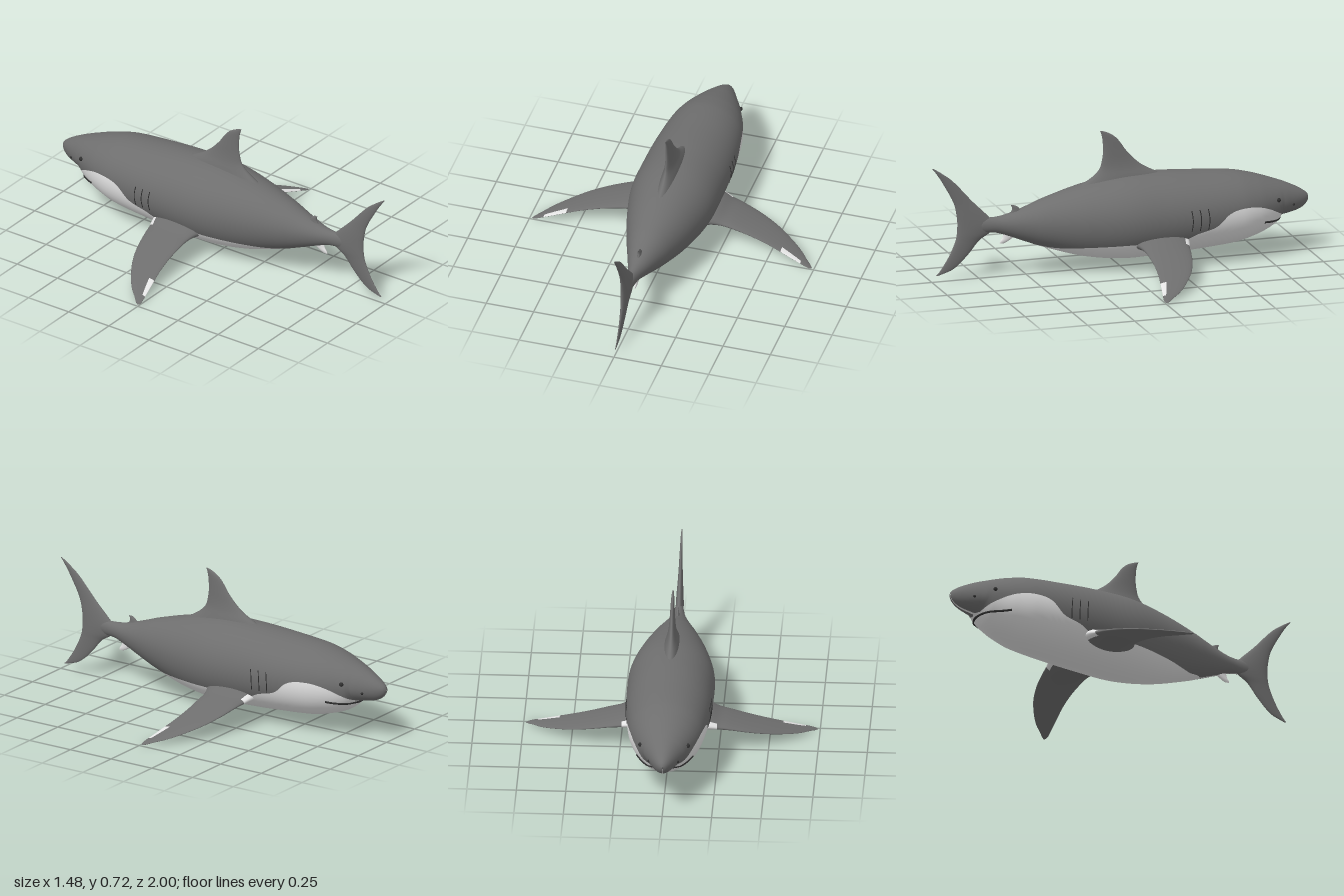
import * as THREE from 'three';

const grey = new THREE.MeshStandardMaterial({ color: 0x6e6e6e, name: 'back grey' });
const white = new THREE.MeshStandardMaterial({ color: 0xe4e4e4, name: 'belly white' });
const dark = new THREE.MeshStandardMaterial({ color: 0x303030, name: 'dark detail' });

// Smooth interpolation of a table whose first column is the parameter
function sample(rows, t) {
  let i = 0;
  while (i < rows.length - 2 && t > rows[i + 1][0]) i++;
  const a = rows[i], b = rows[i + 1], p = rows[i - 1] || a, q = rows[i + 2] || b;
  const d = b[0] - a[0], s = Math.min(1, Math.max(0, (t - a[0]) / d));
  return a.slice(1).map((_, k) => {
    const c = k + 1;
    const m0 = (b[c] - p[c]) / (b[0] - p[0]) * d, m1 = (q[c] - a[c]) / (q[0] - a[0]) * d;
    const s2 = s * s, s3 = s2 * s;
    return (2 * s3 - 3 * s2 + 1) * a[c] + (s3 - 2 * s2 + s) * m0 + (3 * s2 - 2 * s3) * b[c] + (s3 - s2) * m1;
  });
}

// Skin closed rings of points; isWhite(i, j) picks the colour of each cell
function loft(name, rings, isWhite = () => false, flip = false) {
  const n = rings[0].length, cells = [[], []];
  for (let i = 0; i < rings.length - 1; i++) {
    for (let j = 0; j < n; j++) {
      const k = (j + 1) % n;
      const a = i * n + j, b = i * n + k, c = a + n, d = b + n;
      cells[isWhite(i, j) ? 1 : 0].push(...(flip ? [a, d, b, a, c, d] : [a, b, d, a, d, c]));
    }
  }
  const g = new THREE.BufferGeometry();
  g.setAttribute('position', new THREE.Float32BufferAttribute(rings.flat(2), 3));
  g.setIndex([...cells[0], ...cells[1]]);
  g.addGroup(0, cells[0].length, 0);
  g.addGroup(cells[0].length, cells[1].length, 1);
  g.computeVertexNormals();
  const mesh = new THREE.Mesh(g, [grey, white]);
  mesh.name = name;
  return mesh;
}

// Body stations: z, top, bottom, half width, height of widest line
const BODY = [
  [-1, .283, .277, .002, .28], [-.995, .297, .26, .015, .28], [-.975, .315, .237, .033, .28],
  [-.94, .337, .219, .054, .28], [-.88, .366, .207, .085, .282], [-.84, .382, .198, .106, .285],
  [-.82, .389, .168, .116, .285], [-.77, .407, .135, .138, .285], [-.7, .429, .108, .166, .283],
  [-.6, .451, .083, .192, .28], [-.4, .468, .066, .213, .275], [-.2, .48, .055, .22, .27],
  [0, .478, .05, .216, .27], [.2, .445, .077, .175, .27], [.4, .392, .137, .115, .27],
  [.5, .357, .175, .081, .272], [.6, .327, .215, .048, .275], [.66, .318, .235, .032, .278],
  [.74, .315, .243, .02, .28], [.82, .29, .27, .005, .28],
];
// Height of the line between back and belly colours
const LINE = [
  [-1, 0], [-.88, .1], [-.85, .2], [-.8, .245], [-.7, .29], [-.6, .3], [-.52, .28], [-.45, .22],
  [-.35, .19], [-.29, .165], [0, .158], [.2, .15], [.36, .145], [.48, .16], [.54, .14], [.9, 0],
];

function bodyPoint(z, angle, grow = 0) {
  const [top, bottom, w, cy] = sample(BODY, z), s = Math.sin(angle);
  return [(w + grow) * Math.cos(angle), cy + s * ((s > 0 ? top - cy : cy - bottom) + grow), z];
}
function angleAt(z, y) {
  const [top, bottom, , cy] = sample(BODY, z);
  const s = (y - cy) / (y > cy ? top - cy : cy - bottom);
  return Math.asin(Math.min(.995, Math.max(-.995, s)));
}
const skinPoint = (z, y, side, grow = 0) => {
  const [px, py, pz] = bodyPoint(z, angleAt(z, y), grow);
  return new THREE.Vector3(px * side, py, pz);
};

function makeBody() {
  const UP = 40, LOW = 24, STEPS = 180, rings = [];
  for (let i = 0; i <= STEPS; i++) {
    const t = i / STEPS, z = -1 + 1.82 * (t < .12 ? t * t / .12 * .5 + t * .5 : t);
    const a = angleAt(z, sample(LINE, z)[0]), ring = [];
    for (let j = 0; j < UP; j++) ring.push(bodyPoint(z, a + (Math.PI - 2 * a) * j / UP));
    for (let j = 0; j < LOW; j++) ring.push(bodyPoint(z, Math.PI - a + (Math.PI + 2 * a) * j / LOW));
    rings.push(ring);
  }
  return loft('body', rings, (i, j) => j >= UP);
}

// Upright fin from rows of: y, leading z, trailing z, half thickness
function uprightFin(name, rows, steps, allWhite = false) {
  const rings = [], y0 = rows[0][0], y1 = rows[rows.length - 1][0];
  for (let i = 0; i <= steps; i++) {
    const y = y0 + (y1 - y0) * i / steps, [lead, trail, half] = sample(rows, y);
    rings.push(Array.from({ length: 24 }, (_, j) => {
      const a = j / 24 * Math.PI * 2;
      return [half * Math.sin(a), y, (lead + trail) / 2 + (trail - lead) / 2 * Math.cos(a)];
    }));
  }
  return loft(name, rings, () => allWhite);
}

// Pectoral rows: x, leading z, trailing z, middle y, half thickness
const PECTORAL = [
  [.13, -.32, .0, .16, .055], [.2, -.305, -.035, .152, .04], [.25, -.29, -.05, .14, .027],
  [.3, -.28, -.052, .13, .021], [.4, -.255, -.052, .104, .015], [.5, -.214, -.042, .076, .011],
  [.6, -.15, -.022, .046, .008], [.66, -.1, -.01, .028, .006], [.7, -.055, -.002, .016, .005],
  [.725, -.03, .0, .008, .003], [.738, -.012, -.008, .004, .001],
];
function pectoralFin(side) {
  const STEPS = 60, N = 32, rings = [], xAt = i => .13 + .608 * i / STEPS;
  for (let i = 0; i <= STEPS; i++) {
    const [lead, trail, y, half] = sample(PECTORAL, xAt(i));
    rings.push(Array.from({ length: N }, (_, j) => {
      const a = j / N * Math.PI * 2;
      return [side * xAt(i), y + half * Math.sin(a), (lead + trail) / 2 + (trail - lead) / 2 * Math.cos(a)];
    }));
  }
  // white flecks at the front of the root and on the upper trailing tip
  const fleck = (i, j) => {
    const x = xAt(i + .5), c = Math.cos((j + .5) / N * Math.PI * 2);
    return (x < .245 && c < -.8) || (x > .57 && x < .68 && j < N / 2 && c > .55);
  };
  return loft(side > 0 ? 'leftPectoralFin' : 'rightPectoralFin', rings, fleck, side > 0);
}

function tube(name, points, radius) {
  const mesh = new THREE.Mesh(new THREE.TubeGeometry(new THREE.CatmullRomCurve3(points), 32, radius, 6), dark);
  mesh.name = name;
  return mesh;
}
function dot(name, z, y, side, radius) {
  const mesh = new THREE.Mesh(new THREE.SphereGeometry(radius, 16, 12), dark);
  mesh.position.copy(skinPoint(z, y, side));
  mesh.name = name;
  return mesh;
}

export function createModel() {
  const shark = new THREE.Group();
  shark.name = 'shark';
  shark.add(makeBody());

  shark.add(uprightFin('dorsalFin', [
    [.42, -.3, .25, .05], [.48, -.2, .15, .036], [.52, -.125, .11, .024], [.56, -.075, .097, .017],
    [.61, -.03, .09, .013], [.66, .005, .092, .01], [.69, .035, .096, .008], [.71, .07, .102, .005],
    [.72, .1, .106, .002],
  ], 50));
  shark.add(uprightFin('tailFin', [
    [.035, .965, .978, .002], [.06, .89, .955, .005], [.13, .81, .91, .009], [.205, .745, .876, .014],
    [.24, .69, .868, .018], [.28, .66, .865, .02], [.33, .705, .867, .018], [.41, .785, .885, .012],
    [.525, .89, .947, .007], [.575, .955, .98, .005], [.6, .994, 1, .002],
  ], 80));
  shark.add(uprightFin('secondDorsalFin', [
    [.31, .49, .6, .014], [.345, .53, .575, .009], [.362, .545, .575, .006], [.372, .565, .58, .002],
  ], 12));
  shark.add(uprightFin('analFin', [
    [.175, .615, .64, .002], [.185, .595, .638, .006], [.205, .565, .625, .009], [.24, .52, .62, .012],
  ], 12, true));

  for (const side of [1, -1]) {
    shark.add(pectoralFin(side));
    shark.add(dot('eye', -.805, .308, side, .011));
    shark.add(dot('nostril', -.9, .265, side, .007));
    // gill slits
    for (const z of [-.315, -.36, -.405]) {
      const pts = [.21, .24, .27, .3, .32].map((y, i) => skinPoint(z - .004 * Math.sin(i), y, side));
      shark.add(tube('gillSlit', pts, .0025));
    }
  }

  // mouth line running round the lower jaw
  const half = [[-.72, .205], [-.75, .2], [-.78, .197], [-.81, .196], [-.832, .196]];
  const front = new THREE.Vector3(0, .194, -.842);
  shark.add(tube('mouth', [
    ...half.map(([z, y]) => skinPoint(z, y, 1)), front,
    ...half.map(([z, y]) => skinPoint(z, y, -1)).reverse(),
  ], .006));
  return shark;
}
